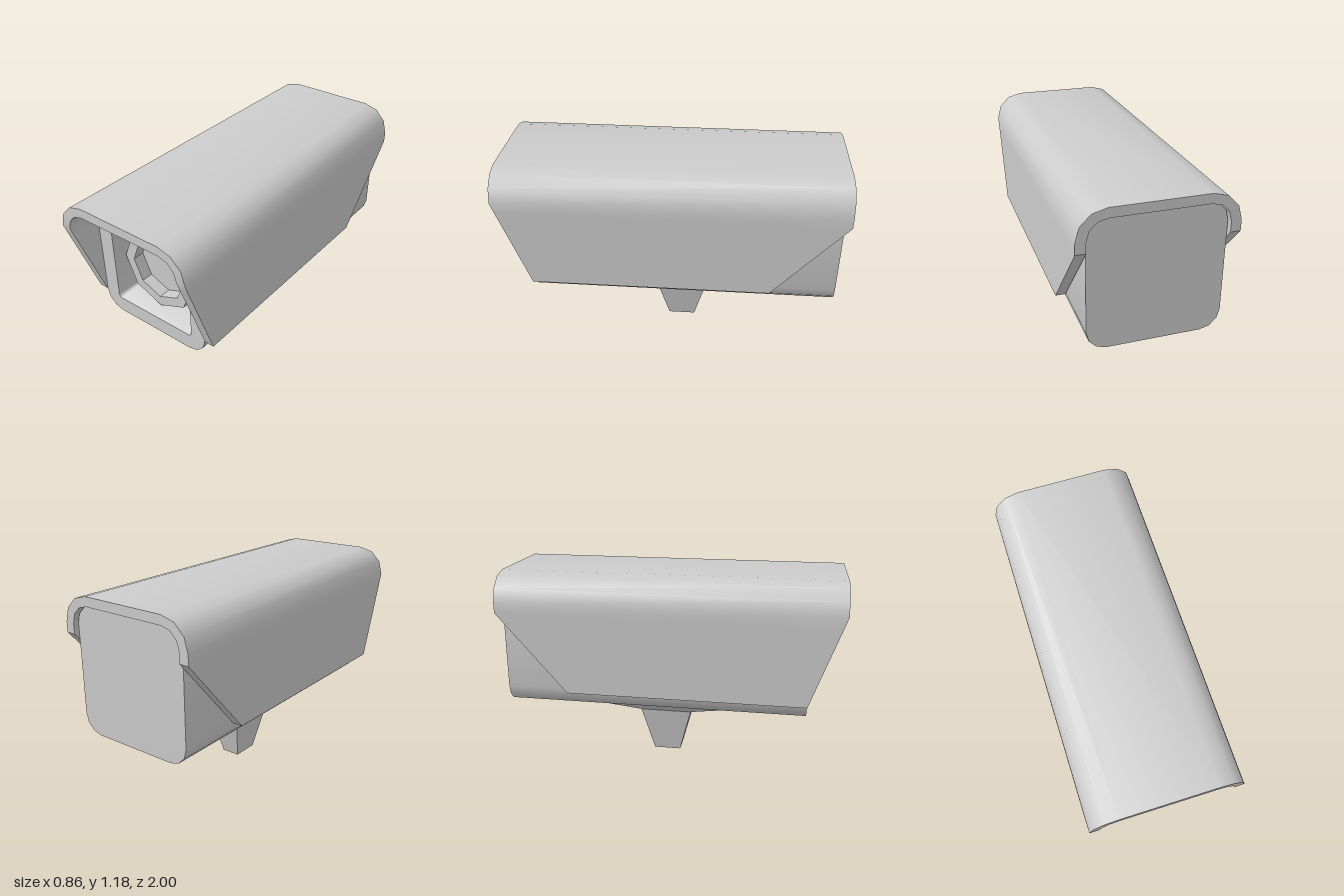
import * as THREE from 'three';
import { toCreasedNormals } from 'three/addons/utils/BufferGeometryUtils.js';

const CREASE = 0.6;

function addMesh(group, name, geometry) {
  const material = new THREE.MeshStandardMaterial({ color: 0xcccccc });
  const mesh = new THREE.Mesh(toCreasedNormals(geometry, CREASE), material);
  mesh.name = name;
  group.add(mesh);
  return mesh;
}

// Rounded rectangle outline with three facets per corner, counter-clockwise
function roundedRect(halfW, y0, y1, r) {
  const corners = [
    [halfW - r, y0 + r, -90], [halfW - r, y1 - r, 0],
    [-halfW + r, y1 - r, 90], [-halfW + r, y0 + r, 180],
  ];
  return corners.flatMap(([cx, cy, start]) => [0, 30, 60, 90].map((step) => {
    const a = THREE.MathUtils.degToRad(start + step);
    return new THREE.Vector2(cx + r * Math.cos(a), cy + r * Math.sin(a));
  }));
}

// Rectangular block that tapers from a top rectangle to a bottom one
function taperedBlock(top, bottom) {
  const g = new THREE.BoxGeometry(2, 2, 2);
  const p = g.attributes.position;
  for (let i = 0; i < p.count; i++) {
    const s = p.getY(i) > 0 ? top : bottom;
    p.setXYZ(i, p.getX(i) * s.halfX, s.y, p.getZ(i) > 0 ? s.front : s.back);
  }
  return g;
}

// Arch-shaped roof profile, from the right lower edge over to the left one
function archProfile(halfW, top, r) {
  const half = [new THREE.Vector2(halfW, 0.49), new THREE.Vector2(halfW, 0.96)];
  for (let i = 0; i <= 3; i++) {
    const a = (i * Math.PI) / 6;
    half.push(new THREE.Vector2(halfW - r + r * Math.cos(a), top - r + r * Math.sin(a)));
  }
  return [...half, ...half.slice().reverse().map((p) => new THREE.Vector2(-p.x, p.y))];
}

// Sun shield: an arch with slanted front and rear ends
function shieldGeometry() {
  const outer = archProfile(0.43, 1.185, 0.165);
  const inner = archProfile(0.374, 1.13, 0.11);
  const frontZ = (y) => THREE.MathUtils.mapLinear(Math.min(y, 1.02), 0.49, 1.02, 0.81, 1);
  const backZ = (y) => THREE.MathUtils.mapLinear(Math.min(y, 0.96), 0.49, 0.96, -0.585, -1);
  const n = outer.length;
  const pos = [];
  for (let i = 0; i < n; i++) {
    for (const p of [outer[i], inner[i]]) {
      pos.push(p.x, p.y, frontZ(p.y), p.x, p.y, backZ(p.y));
    }
  }
  // Four points per section: outer front, outer back, inner back, inner front
  const ring = [0, 1, 3, 2];
  const index = [];
  const quad = (a, b, c, d) => index.push(a, b, c, a, c, d);
  for (let i = 0; i < n - 1; i++) {
    for (let k = 0; k < 4; k++) {
      const a = i * 4 + ring[k];
      const b = i * 4 + ring[(k + 1) % 4];
      quad(a, b, b + 4, a + 4);
    }
  }
  quad(0, 2, 3, 1);
  const e = (n - 1) * 4;
  quad(e, e + 1, e + 3, e + 2);
  const g = new THREE.BufferGeometry();
  g.setAttribute('position', new THREE.Float32BufferAttribute(pos, 3));
  g.setIndex(index);
  return g;
}

export function createModel() {
  const model = new THREE.Group();
  model.name = 'securityCamera';

  const back = -0.97;
  const front = 0.81;
  const floorZ = 0.6;
  const midY = 0.75;
  const taper = 0.72;

  // Housing with a tapered window recess in its front
  const outline = roundedRect(0.37, 0.38, 1.127, 0.11);
  const shape = new THREE.Shape(outline);
  shape.holes.push(new THREE.Path(roundedRect(0.275, 0.475, 1.025, 0.02).reverse()));
  const housing = new THREE.ExtrudeGeometry(shape, { depth: front - back, bevelEnabled: false });
  housing.translate(0, 0, back);
  const p = housing.attributes.position;
  for (let i = 0; i < p.count; i++) {
    const x = p.getX(i);
    const y = p.getY(i) - midY;
    if (p.getZ(i) < 0 && Math.abs(x) < 0.28 && Math.abs(y) < 0.28) {
      p.setXYZ(i, x * taper, midY + y * taper, floorZ);
    }
  }
  addMesh(model, 'housing', housing);

  // Rear panel closing the housing
  const rear = new THREE.ShapeGeometry(new THREE.Shape(outline));
  rear.rotateY(Math.PI).translate(0, 0, back);
  addMesh(model, 'rearPanel', rear);

  // Floor of the window recess
  const floor = new THREE.PlaneGeometry(0.55 * taper, 0.55 * taper);
  floor.translate(0, midY, floorZ);
  addMesh(model, 'recessFloor', floor);

  // Eight-sided lens barrel with sunken glass
  const lens = new THREE.LatheGeometry(
    [[0.245, 0.58], [0.245, 0.75], [0.182, 0.75], [0.182, 0.68], [0, 0.68]]
      .map(([r, h]) => new THREE.Vector2(r, h)), 8);
  lens.rotateX(Math.PI / 2).translate(0, 0.758, 0);
  addMesh(model, 'lens', lens);

  addMesh(model, 'sunShield', shieldGeometry());

  // Mount under the housing: wide flange and narrow foot
  const flangeTop = { y: 0.38, halfX: 0.225, front: 0.49, back: -0.6 };
  const neck = { y: 0.283, halfX: 0.108, front: 0.105, back: -0.21 };
  const footEnd = { y: 0, halfX: 0.056, front: 0.03, back: -0.135 };
  addMesh(model, 'mountFlange', taperedBlock(flangeTop, neck));
  addMesh(model, 'mountFoot', taperedBlock(neck, footEnd));

  return model;
}
